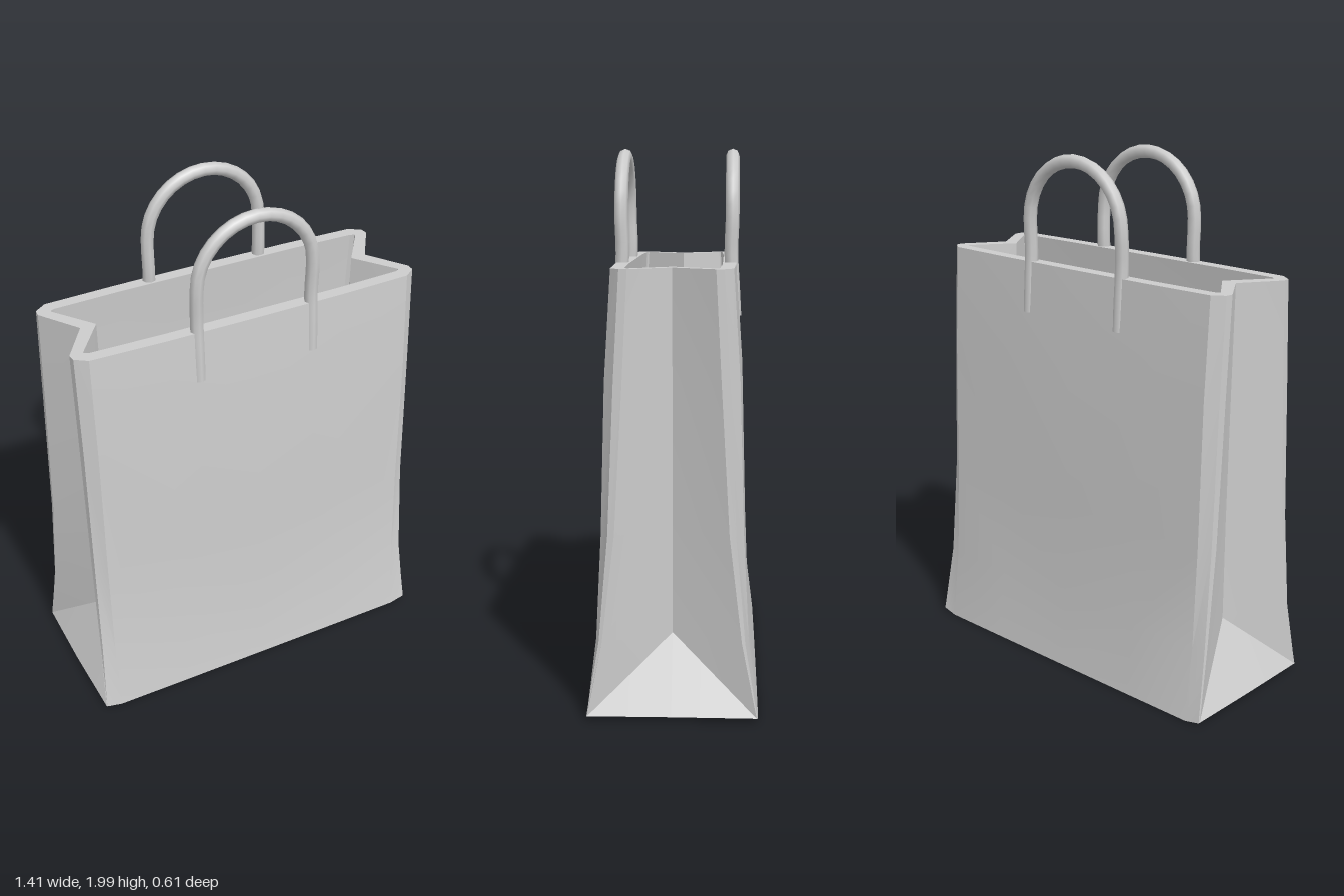
import * as THREE from 'three';
import { toCreasedNormals } from 'three/addons/utils/BufferGeometryUtils.js';

// Levels of the bag: [y, front z, side-edge z, side-edge x, gusset fold x]
const LEVELS = [
  [0.01, 0.305, 0.298, 0.70, 0.705],
  [0.29, 0.273, 0.245, 0.685, 0.565],
  [0.67, 0.258, 0.2, 0.68, 0.567],
  [1.2, 0.245, 0.17, 0.68, 0.575],
  [1.585, 0.22, 0.15, 0.682, 0.582],
];

// Quarter cross-section, from the middle of the front to the gusset fold
function outerRow([y, zf, zc, xc, xg], i) {
  const d = zf - zc;
  const lift = i === 0 ? [0, 0, 0, 0.012, 0.015, 0.018] : [0, 0, 0, 0, 0, 0];
  return [[0, zf], [0.35, zf - 0.03 * d], [0.635, zf - 0.15 * d], [xc - 0.003, zc + 0.4 * d], [xc, zc], [xg, 0]]
    .map(([x, z], c) => [x, y + lift[c], z]);
}

function innerRow([y, zf, zc, xc, xg], i) {
  const z = zf - 0.05, h = i === 0 ? 0.05 : y;
  const edge = Math.min(zc, z - 0.02);
  return [[0, z], [0.35, z], [0.615, z - 0.007], [xc - 0.05, z - 0.014], [xc - 0.05, edge], [xg - 0.06, 0]]
    .map(([x, zz]) => [x, h, zz]);
}

function bagGeometry() {
  const tris = [];
  const quad = (a, b, c, d) => tris.push([a, b, c], [a, c, d]);
  const outer = LEVELS.map(outerRow), inner = LEVELS.map(innerRow);
  const top = LEVELS.length - 1;
  for (let c = 0; c < 5; c++) {
    for (let r = 0; r < top; r++) {
      quad(outer[r][c], outer[r][c + 1], outer[r + 1][c + 1], outer[r + 1][c]);
      const [a, b, e, d] = [inner[r][c], inner[r][c + 1], inner[r + 1][c + 1], inner[r + 1][c]];
      tris.push([a, e, b], [a, d, e]);
    }
    // rim, underside and inside floor
    quad(outer[top][c], outer[top][c + 1], inner[top][c + 1], inner[top][c]);
    tris.push([[0, 0.012, 0], outer[0][c + 1], outer[0][c]]);
    tris.push([[0, 0.05, 0], inner[0][c], inner[0][c + 1]]);
  }
  // mirror the quarter to all four corners
  const pos = [];
  for (const sx of [1, -1]) for (const sz of [1, -1]) {
    for (const t of tris) {
      const order = sx * sz > 0 ? t : [t[0], t[2], t[1]];
      for (const [x, y, z] of order) pos.push(x * sx, y, z * sz);
    }
  }
  const g = new THREE.BufferGeometry();
  g.setAttribute('position', new THREE.Float32BufferAttribute(pos, 3));
  return toCreasedNormals(g, 0.35);
}

// Arched cord, its ends sunk into the wall
function handleGeometry() {
  const R = 0.228, cy = 1.747, pts = [];
  const leg = [[1.39, 0.213], [1.5, 0.207], [1.62, 0.2]];
  for (const [y, z] of leg) pts.push(new THREE.Vector3(R, y, z));
  for (let i = 0; i <= 10; i++) {
    const a = (i / 10) * Math.PI;
    pts.push(new THREE.Vector3(R * Math.cos(a), cy + R * Math.sin(a), 0.204));
  }
  for (const [y, z] of leg.reverse()) pts.push(new THREE.Vector3(-R, y, z));
  return new THREE.TubeGeometry(new THREE.CatmullRomCurve3(pts), 32, 0.025, 8);
}

export function createModel() {
  const paper = new THREE.MeshStandardMaterial({ color: 0xcccccc });
  paper.name = 'greyPaper';
  const model = new THREE.Group();
  model.name = 'shoppingBag';

  const bag = new THREE.Mesh(bagGeometry(), paper);
  bag.name = 'bagBody';
  model.add(bag);

  const cord = handleGeometry();
  for (const [name, turn] of [['frontHandle', 0], ['backHandle', Math.PI]]) {
    const handle = new THREE.Mesh(cord, paper);
    handle.name = name;
    handle.rotation.y = turn;
    model.add(handle);
  }
  return model;
}
